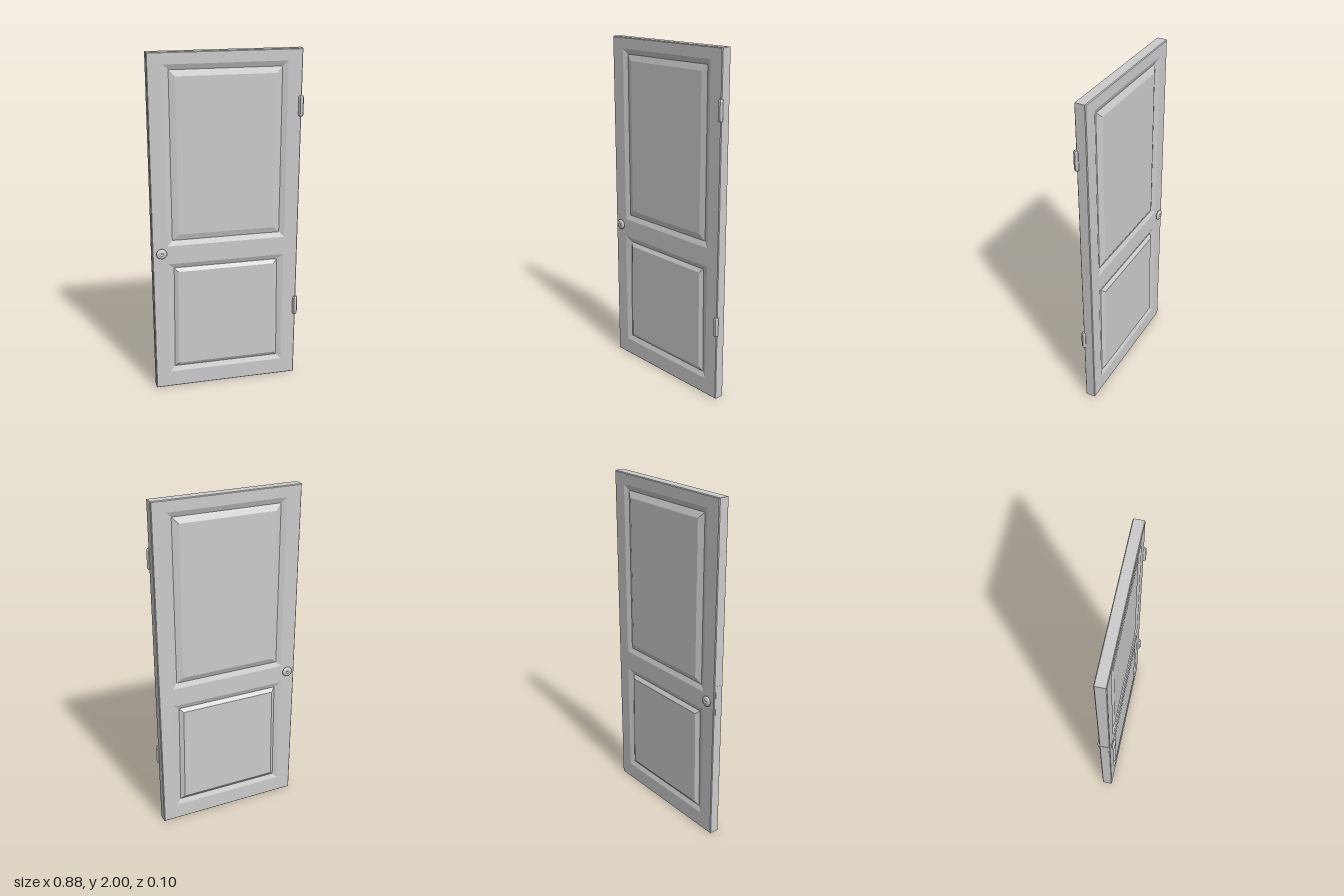
import * as THREE from 'three';

const flat = new THREE.MeshStandardMaterial({ color: 0xcccccc, flatShading: true, side: THREE.DoubleSide });
const smooth = new THREE.MeshStandardMaterial({ color: 0xcccccc, side: THREE.DoubleSide });

const LEFT = -0.44, RIGHT = 0.425, HEIGHT = 2, HALF = 0.031;

function add(parent, name, geometry, material = flat) {
  const mesh = new THREE.Mesh(geometry, material);
  mesh.name = name;
  parent.add(mesh);
  return mesh;
}

// Four corners, anticlockwise from the bottom left; taper narrows the top
function ring([x0, x1, y0, y1], z, taper = 0) {
  return [[x0, y0, z], [x1, y0, z], [x1 - taper, y1, z], [x0 + taper, y1, z]];
}

function inset([x0, x1, y0, y1], d) {
  return [x0 + d, x1 - d, y0 + d, y1 - d];
}

// Joins rings from the outermost inwards, with an optional cap on the last
function loft(rings, cap) {
  const pos = [];
  for (let r = 0; r < rings.length - 1; r++) {
    for (let i = 0; i < 4; i++) {
      const j = (i + 1) % 4, o = rings[r], n = rings[r + 1];
      pos.push(...o[i], ...o[j], ...n[j], ...o[i], ...n[j], ...n[i]);
    }
  }
  if (cap) {
    const [a, b, c, d] = rings[rings.length - 1];
    pos.push(...a, ...b, ...c, ...a, ...c, ...d);
  }
  const g = new THREE.BufferGeometry();
  g.setAttribute('position', new THREE.Float32BufferAttribute(pos, 3));
  g.computeVertexNormals();
  return g;
}

function outline(target, rect) {
  const pts = ring(rect, 0).map(([x, y]) => new THREE.Vector2(x, y));
  return target.setFromPoints(pts);
}

// One half of the door: edges, frame face and two raised panels
function doorHalf(name, isBack, upperField, lowerField) {
  const half = new THREE.Group();
  half.name = name;
  const flip = ([x0, x1, y0, y1]) => (isBack ? [-x1, -x0, y0, y1] : [x0, x1, y0, y1]);
  const slab = flip([LEFT, RIGHT, 0, HEIGHT]);
  const face = inset(slab, 0.004);
  add(half, 'doorEdges', loft([ring(slab, 0), ring(slab, HALF - 0.004), ring(face, HALF)], false));

  const shape = outline(new THREE.Shape(), face);
  const panels = [
    { name: 'upperPanel', groove: [-0.322, 0.312, 0.94, 1.905], rim: 0.03, bevel: 0.035, z: upperField, taper: 0 },
    { name: 'lowerPanel', groove: [-0.323, 0.311, 0.13, 0.77], rim: 0.03, bevel: 0.023, z: lowerField, taper: 0.008 },
  ];
  for (const p of panels) {
    const groove = flip(p.groove);
    const outer = inset(groove, -p.rim);
    shape.holes.push(outline(new THREE.Path(), outer));
    add(half, p.name, loft([
      ring(outer, HALF),
      ring(groove, 0.019, p.taper),
      ring(inset(groove, p.bevel), p.z, p.taper),
    ], true));
  }
  add(half, 'doorFrame', new THREE.ShapeGeometry(shape)).position.z = HALF;
  if (isBack) half.rotation.y = Math.PI;
  return half;
}

// Round knob with a small hollow in its middle
function knobGeometry() {
  const profile = [
    [0.018, -0.002], [0.02, 0.003], [0.028, 0.005], [0.031, 0.009],
    [0.029, 0.014], [0.023, 0.018], [0.011, 0.02], [0.008, 0.019], [0.006, 0.014], [0, 0.014],
  ].map(([r, y]) => new THREE.Vector2(r, y));
  return new THREE.LatheGeometry(profile, 20);
}

// Six-sided hinge barrel with chamfered ends
function hingeGeometry(length) {
  const h = length / 2, r = 0.0155;
  const profile = [[0, -h], [0.011, -h], [r, -h + 0.008], [r, h - 0.008], [0.011, h], [0, h]]
    .map(([x, y]) => new THREE.Vector2(x, y));
  return new THREE.LatheGeometry(profile, 6, Math.PI / 2);
}

export function createModel() {
  const door = new THREE.Group();
  door.name = 'panelDoor';
  door.add(doorHalf('frontHalf', false, 0.029, 0.032));
  door.add(doorHalf('backHalf', true, 0.035, 0.035));

  // Knobs on both faces
  for (const s of [1, -1]) {
    const knob = add(door, s > 0 ? 'frontKnob' : 'backKnob', knobGeometry(), smooth);
    knob.position.set(-0.389, 0.87, s * HALF);
    knob.rotation.x = s * Math.PI / 2;
  }

  // Hinges along the left front edge
  [['upperHinge', 1.682], ['lowerHinge', 0.46]].forEach(([name, y]) => {
    add(door, name, hingeGeometry(0.116)).position.set(0.421, y, HALF);
  });

  // Latch plate on the right edge
  add(door, 'latchPlate', new THREE.BoxGeometry(0.003, 0.22, 0.04)).position.set(LEFT, 0.86, 0);
  return door;
}
